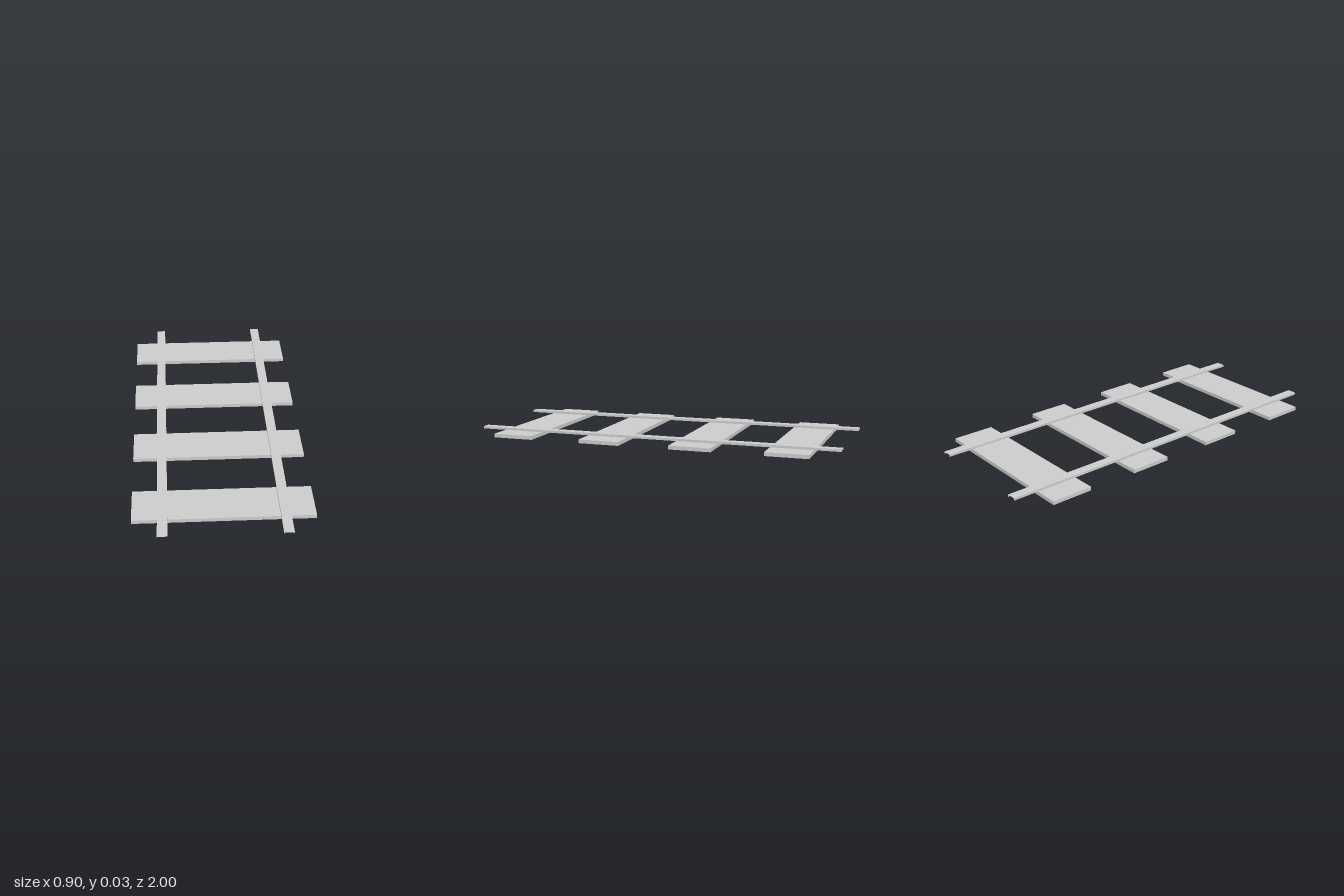
import * as THREE from 'three';

const material = new THREE.MeshStandardMaterial({ color: 0xcccccc, side: THREE.DoubleSide });

// Thin-walled box standing on y = 0, keeping only the listed faces
// (0 +x, 1 -x, 2 +y, 3 -y, 4 +z, 5 -z)
function shell(width, height, depth, faces) {
  const geometry = new THREE.BoxGeometry(width, height, depth).translate(0, height / 2, 0);
  const index = Array.from(geometry.index.array);
  geometry.setIndex(faces.flatMap((f) => index.slice(f * 6, f * 6 + 6)));
  geometry.clearGroups();
  return geometry;
}

export function createModel() {
  const track = new THREE.Group();
  track.name = 'railwayTrack';
  const sleeperHeight = 0.02;

  // Sleepers: wide shallow shells, open underneath
  const sleeperGeometry = shell(0.9, sleeperHeight, 0.225, [0, 1, 2, 4, 5]);
  for (let i = 0; i < 4; i++) {
    const sleeper = new THREE.Mesh(sleeperGeometry, material);
    sleeper.name = `sleeper${i + 1}`;
    sleeper.position.z = 0.75 - i * 0.5;
    track.add(sleeper);
  }

  // Rails: long channels, open underneath and at both ends
  const railGeometry = shell(0.05, 0.0125, 2, [0, 1, 2]);
  for (const side of [1, -1]) {
    const rail = new THREE.Mesh(railGeometry, material);
    rail.name = side > 0 ? 'leftRail' : 'rightRail';
    rail.position.set(side * 0.3, sleeperHeight, 0);
    track.add(rail);
  }
  return track;
}
